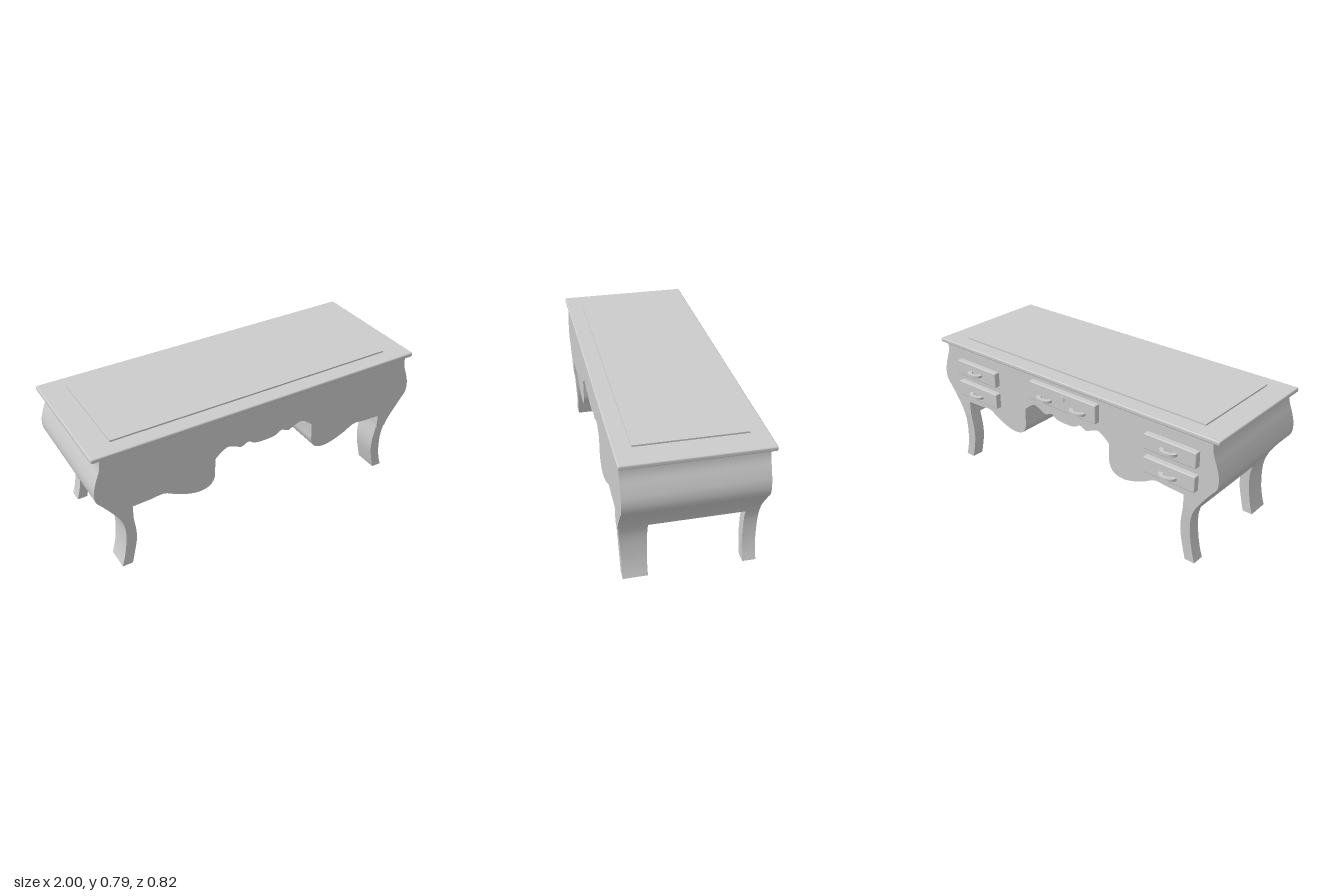
import * as THREE from 'three';
import { toCreasedNormals } from 'three/addons/utils/BufferGeometryUtils.js';
import { RoundedBoxGeometry } from 'three/addons/geometries/RoundedBoxGeometry.js';

const material = new THREE.MeshStandardMaterial({ color: 0xcccccc });

function addMesh(group, name, geometry, x = 0, y = 0, z = 0) {
  const mesh = new THREE.Mesh(geometry, material);
  mesh.name = name;
  mesh.position.set(x, y, z);
  group.add(mesh);
  return mesh;
}

// Smooth curve through a few [x, y] points
function curve(points, count) {
  const spline = new THREE.CatmullRomCurve3(
    points.map(([x, y]) => new THREE.Vector3(x, y, 0)), false, 'centripetal');
  return spline.getPoints(count).map((p) => new THREE.Vector2(p.x, p.y));
}

function extrude(outline, depth, steps = 1) {
  return new THREE.ExtrudeGeometry(new THREE.Shape(outline), { depth, steps, bevelEnabled: false });
}

// Box given by its lower and upper limits
function slab(group, name, [x0, x1], [y0, y1], [z0, z1], radius) {
  const geometry = new RoundedBoxGeometry(x1 - x0, y1 - y0, z1 - z0, 2, radius);
  addMesh(group, name, geometry, (x0 + x1) / 2, (y0 + y1) / 2, (z0 + z1) / 2);
}

// Bombe carcass: one half of the outline, mirrored, then run front to back
function bodyGeometry() {
  const side = curve([[0.955, 0.76], [0.96, 0.7], [0.985, 0.63], [1, 0.57], [0.995, 0.51],
    [0.965, 0.47], [0.92, 0.41], [0.88, 0.35], [0.863, 0.313]], 32);
  const skirt = [new THREE.Vector2(0.803, 0.313), new THREE.Vector2(0.803, 0.4)];
  const belly = curve([[0.79, 0.402], [0.7, 0.405], [0.62, 0.41], [0.55, 0.375], [0.46, 0.342],
    [0.4, 0.335], [0.345, 0.352], [0.318, 0.395], [0.315, 0.45], [0.312, 0.515]], 36);
  const scallop = curve([[0.29, 0.535], [0.24, 0.565], [0.2, 0.555], [0.155, 0.535]], 14);
  const ripple = curve([[0.14, 0.538], [0.105, 0.553], [0.075, 0.535], [0.05, 0.528], [0, 0.525]], 16);
  const half = [...side, ...skirt, ...belly, ...scallop, ...ripple];
  const mirrored = half.slice(0, -1).reverse().map((p) => new THREE.Vector2(-p.x, p.y));
  return toCreasedNormals(extrude([...half, ...mirrored], 0.74), 0.6);
}

// Curved leg; its depth shifts slightly as it falls to the floor
function legGeometry(sign, topZ, footZ) {
  const outer = curve([[0.89, 0.37], [0.863, 0.313], [0.85, 0.25], [0.855, 0.13], [0.87, 0.05], [0.885, 0]], 18);
  const inner = curve([[0.825, 0], [0.81, 0.06], [0.792, 0.15], [0.79, 0.22], [0.803, 0.33], [0.803, 0.4]], 18);
  const outline = [...outer, ...inner].map((p) => new THREE.Vector2(p.x * sign, p.y));
  const geometry = extrude(outline, 1);
  const pos = geometry.attributes.position;
  for (let i = 0; i < pos.count; i++) {
    const t = THREE.MathUtils.clamp((pos.getY(i) - 0.11) / 0.2, 0, 1);
    const back = THREE.MathUtils.lerp(footZ[0], topZ[0], t);
    const front = THREE.MathUtils.lerp(footZ[1], topZ[1], t);
    pos.setZ(i, THREE.MathUtils.lerp(back, front, pos.getZ(i)));
  }
  return toCreasedNormals(geometry, 0.6);
}

// Flat arched pull with a hollow middle, arching outwards from the drawer
function handleGeometry() {
  const outer = curve([[-0.052, 0], [-0.05, 0.022], [-0.035, 0.038], [0, 0.045],
    [0.035, 0.038], [0.05, 0.022], [0.052, 0]], 20);
  const inner = curve([[0.027, 0], [0.027, 0.013], [0.018, 0.022], [0, 0.025],
    [-0.018, 0.022], [-0.027, 0.013], [-0.027, 0]], 16);
  const geometry = extrude([...outer, ...inner], 0.015);
  geometry.translate(0, 0, -0.0075).rotateX(-Math.PI / 2);
  return toCreasedNormals(geometry, 0.6);
}

export function createModel() {
  const desk = new THREE.Group();
  desk.name = 'desk';

  addMesh(desk, 'body', bodyGeometry(), 0, 0, -0.34);
  slab(desk, 'top', [-1, 1], [0.757, 0.783], [-0.358, 0.412], 0.008);
  addMesh(desk, 'writingPad', new THREE.BoxGeometry(1.715, 0.012, 0.585), -0.003, 0.786, 0.0275);

  for (const [sign, label] of [[1, 'left'], [-1, 'right']]) {
    addMesh(desk, label + 'FrontLeg', legGeometry(sign, [0.245, 0.396], [0.252, 0.385]));
    addMesh(desk, label + 'BackLeg', legGeometry(sign, [-0.34, -0.265], [-0.33, -0.257]));
  }

  // Drawer fronts with their pulls
  const handle = handleGeometry();
  const drawers = [
    { name: 'centreDrawer', x: [-0.245, 0.24], y: [0.62, 0.73], pulls: [-0.125, 0.118], pullY: 0.657 },
  ];
  for (const [label, x, pull] of [['left', [0.52, 0.845], 0.685], ['right', [-0.885, -0.565], -0.725]]) {
    drawers.push({ name: label + 'UpperDrawer', x, y: [0.595, 0.685], pulls: [pull], pullY: 0.637 });
    drawers.push({ name: label + 'LowerDrawer', x, y: [0.457, 0.55], pulls: [pull], pullY: 0.496 });
  }
  for (const d of drawers) {
    slab(desk, d.name, d.x, d.y, [-0.373, -0.33], 0.006);
    for (const x of d.pulls) addMesh(desk, d.name + 'Handle', handle, x, d.pullY, -0.367);
  }

  // Keyhole plate
  const lock = new THREE.CylinderGeometry(0.018, 0.018, 0.016, 20).rotateX(Math.PI / 2);
  addMesh(desk, 'keyholePlate', lock, -0.01, 0.695, -0.371);
  return desk;
}
